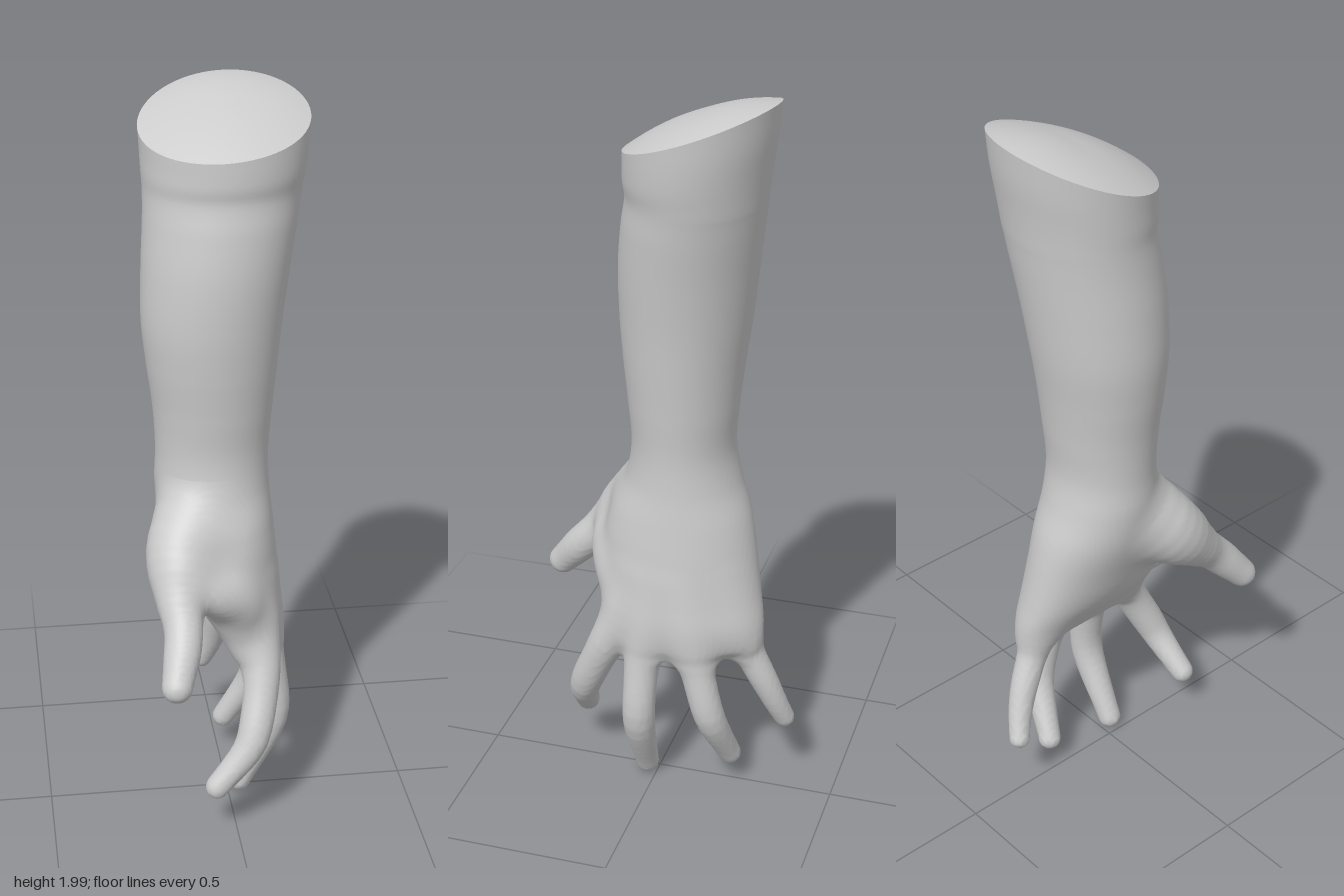
import * as THREE from 'three';

const material = new THREE.MeshStandardMaterial({ color: 0xcccccc, roughness: 0.8 });
const V = (x, y, z) => new THREE.Vector3(x, y, z);
const { clamp, lerp, smoothstep } = THREE.MathUtils;

function surface(positions, index) {
  const geometry = new THREE.BufferGeometry();
  geometry.setAttribute('position', new THREE.Float32BufferAttribute(positions, 3));
  geometry.setIndex(index);
  geometry.computeVertexNormals();
  return geometry;
}

// Closed rings of points given by place(u, angle)
function ringSurface(rows, cols, place) {
  const positions = [], index = [];
  for (let i = 0; i <= rows; i++) {
    for (let j = 0; j < cols; j++) {
      positions.push(...place(i / rows, (j / cols) * Math.PI * 2).toArray());
      if (i === rows) continue;
      const a = i * cols + j, b = i * cols + (j + 1) % cols;
      index.push(a, b, a + cols, b, b + cols, a + cols);
    }
  }
  return surface(positions, index);
}

// Forearm and palm sections: y, x min, x max, z min, z max
const sections = [
  [1.86, -0.212, 0.23, -0.305, 0.085],
  [1.82, -0.209, 0.226, -0.298, 0.086],
  [1.78, -0.207, 0.219, -0.286, 0.086],
  [1.74, -0.204, 0.208, -0.277, 0.082],
  [1.66, -0.206, 0.195, -0.267, 0.096],
  [1.54, -0.213, 0.175, -0.252, 0.109],
  [1.40, -0.216, 0.155, -0.235, 0.11],
  [1.28, -0.205, 0.142, -0.218, 0.102],
  [1.16, -0.190, 0.13, -0.205, 0.09],
  [1.04, -0.184, 0.12, -0.197, 0.082],
  [0.94, -0.187, 0.122, -0.215, 0.098],
  [0.84, -0.175, 0.132, -0.247, 0.138],
  [0.73, -0.14, 0.143, -0.268, 0.16],
  [0.62, -0.098, 0.15, -0.282, 0.153],
  [0.54, -0.045, 0.153, -0.287, 0.138],
  [0.48, 0.0, 0.143, -0.268, 0.12],
  [0.45, 0.04, 0.125, -0.225, 0.085],
];
const palmEnd = sections[sections.length - 1][0];

// Smooth section at a height: centre and half widths
function sectionAt(y) {
  const last = sections.length - 1;
  let k = 0;
  while (k < last - 1 && sections[k + 1][0] > y) k++;
  const A = sections[k], B = sections[k + 1], h = B[0] - A[0];
  const t = clamp((y - A[0]) / h, 0, 1), t2 = t * t, t3 = t2 * t;
  const slope = (i, c) => {
    const p = sections[Math.max(i - 1, 0)], q = sections[Math.min(i + 1, last)];
    return (q[c] - p[c]) / (q[0] - p[0]);
  };
  const [x0, x1, z0, z1] = [1, 2, 3, 4].map((c) => lerp(A[c], B[c], 3 * t2 - 2 * t3)
    + h * ((t3 - 2 * t2 + t) * slope(k, c) + (t3 - t2) * slope(k + 1, c)));
  return { cx: (x0 + x1) / 2, cz: (z0 + z1) / 2, hx: (x1 - x0) / 2, hz: (z1 - z0) / 2 };
}

// Forearm skin down into the wrist, with a slanted cut at the top
function forearmPoint(u, angle) {
  const y = lerp(1.86, 0.975, u), { cx, cz, hx, hz } = sectionAt(y);
  const c = Math.cos(angle), s = Math.sin(angle), cut = clamp((y - 1.74) / 0.12, 0, 1);
  return V(cx + hx * c, y + cut * (hz * (1 - s) * 0.36 - 0.009 * (1 - c) ** 2), cz + hz * s);
}

// Domed cap over the slanted rim
function capPoint(u, angle) {
  const centre = forearmPoint(0, 0).lerp(forearmPoint(0, Math.PI), 0.5);
  const point = centre.lerp(forearmPoint(0, angle), u);
  point.y += 0.045 * (1 - u * u);
  return point;
}

// Digits: path from inside the palm to the tip, and radii along it
const digits = {
  thumb: [
    [[-0.07, 0.9, 0.01], [-0.126, 0.81, 0.078], [-0.146, 0.71, 0.175], [-0.147, 0.63, 0.258], [-0.174, 0.533, 0.344]],
    [0.075, 0.098, 0.092, 0.07, 0.053, 0.049, 0.041]],
  indexFinger: [
    [[0.05, 0.66, 0.04], [0.076, 0.52, 0.09], [0.078, 0.42, 0.14], [0.05, 0.29, 0.2], [0.032, 0.25, 0.213], [-0.056, 0.15, 0.235]],
    [0.055, 0.06, 0.055, 0.048, 0.046, 0.039, 0.033]],
  middleFinger: [
    [[0.06, 0.66, -0.01], [0.093, 0.52, 0.01], [0.113, 0.41, 0.018], [0.13, 0.29, 0.022], [0.122, 0.225, 0.024], [0.032, 0.036, 0.028]],
    [0.055, 0.057, 0.051, 0.046, 0.045, 0.039, 0.033]],
  ringFinger: [
    [[0.06, 0.66, -0.07], [0.088, 0.52, -0.105], [0.105, 0.41, -0.138], [0.109, 0.3, -0.166], [0.099, 0.25, -0.179], [0.019, 0.103, -0.211]],
    [0.055, 0.056, 0.05, 0.045, 0.043, 0.037, 0.032]],
  littleFinger: [
    [[0.015, 0.68, -0.168], [0.028, 0.55, -0.222], [0.022, 0.44, -0.266], [0.008, 0.335, -0.313], [-0.008, 0.27, -0.338], [-0.026, 0.222, -0.355]],
    [0.055, 0.057, 0.052, 0.042, 0.039, 0.034, 0.029]],
  // Skin fold joining thumb and index finger
  thumbWeb: [
    [[-0.13, 0.76, 0.13], [-0.065, 0.705, 0.155], [0.015, 0.655, 0.125], [0.06, 0.57, 0.08]],
    [0.065, 0.056, 0.05, 0.045]],
};

// Each digit as a chain of short tapered segments: start, direction, radii
const chains = Object.values(digits).map(([path, radii]) => {
  const points = new THREE.CatmullRomCurve3(path.map((p) => V(...p))).getSpacedPoints(18);
  const profile = new THREE.SplineCurve(radii.map((r, i) => new THREE.Vector2(i, r)));
  return points.slice(0, -1).map((a, i) => {
    const d = points[i + 1].clone().sub(a);
    return { a, d, dd: d.lengthSq(), r0: profile.getPoint(i / 18).y, r1: profile.getPoint((i + 1) / 18).y };
  });
});

function chainDistance(chain, x, y, z) {
  let best = Infinity;
  for (const { a, d, dd, r0, r1 } of chain) {
    const px = x - a.x, py = y - a.y, pz = z - a.z;
    const t = Math.min(1, Math.max(0, (px * d.x + py * d.y + pz * d.z) / dd));
    const qx = px - t * d.x, qy = py - t * d.y, qz = pz - t * d.z;
    best = Math.min(best, Math.sqrt(qx * qx + qy * qy + qz * qz) - r0 - t * (r1 - r0));
  }
  return best;
}

// Palm with knuckles arched across the width
function palmDistance(x, y, z, { cx, cz, hx, hz }) {
  const s = clamp((z - cz) / hz, -1, 1);
  const dx = x - cx + smoothstep(0.9 - y, 0, 0.4) * 0.035 * s * s, dz = z - cz;
  const k0 = Math.hypot(dx / hx, dz / hz), k1 = Math.hypot(dx / hx ** 2, dz / hz ** 2);
  const d = k0 * (k0 - 1) / Math.max(k1, 1e-6);
  return y < palmEnd ? Math.hypot(Math.max(d, 0), palmEnd - y) : d;
}

// Union with a fillet of size k
function blend(a, b, k) {
  const h = Math.max(k - Math.abs(a - b), 0) / k;
  return Math.min(a, b) - h * h * k / 4;
}

// Skin where the blended palm and digits reach distance zero, traced on a grid
function handGeometry() {
  const step = 0.01, min = [-0.27, -0.03, -0.42], n = [50, 104, 85];
  const stride = [1, n[0], n[0] * n[1]];
  const values = new Float32Array(n[0] * n[1] * n[2]);
  const forCells = (start, visit) => {
    for (let j = start; j < n[1] - 1; j++)
      for (let k = start; k < n[2] - 1; k++)
        for (let i = start; i < n[0] - 1; i++) visit(i + j * stride[1] + k * stride[2], [i, j, k]);
  };
  for (let j = 0; j < n[1]; j++) {
    const y = min[1] + j * step, section = sectionAt(y);
    for (let k = 0; k < n[2]; k++) {
      for (let i = 0; i < n[0]; i++) {
        const x = min[0] + i * step, z = min[2] + k * step;
        const fingers = chains.reduce((f, chain) => blend(f, chainDistance(chain, x, y, z), 0.03), 1);
        values[i + j * stride[1] + k * stride[2]] = blend(fingers, palmDistance(x, y, z, section), 0.06);
      }
    }
  }
  // One vertex in each crossed cell, at the mean of its edge crossings
  const positions = [], index = [], vertex = new Map();
  forCells(0, (g, cell) => {
    const sum = [0, 0, 0];
    let count = 0;
    for (let axis = 0; axis < 3; axis++) {
      const u = (axis + 1) % 3, v = (axis + 2) % 3;
      for (let corner = 0; corner < 4; corner++) {
        const cu = corner & 1, cv = corner >> 1, e = g + cu * stride[u] + cv * stride[v];
        const a = values[e], b = values[e + stride[axis]];
        if (a < 0 === b < 0) continue;
        sum[axis] += a / (a - b);
        sum[u] += cu;
        sum[v] += cv;
        count++;
      }
    }
    if (!count) return;
    vertex.set(g, positions.length / 3);
    positions.push(...sum.map((s, c) => min[c] + step * (cell[c] + s / count)));
  });
  // One quad around each crossed grid edge
  forCells(1, (g) => {
    for (let axis = 0; axis < 3; axis++) {
      const su = stride[(axis + 1) % 3], sv = stride[(axis + 2) % 3];
      const inside = values[g] < 0;
      if (inside === values[g + stride[axis]] < 0) continue;
      const q = [g, g - su, g - su - sv, g - sv].map((cell) => vertex.get(cell));
      if (!inside) q.reverse();
      index.push(q[0], q[1], q[2], q[0], q[2], q[3]);
    }
  });
  return surface(positions, index);
}

export function createModel() {
  const model = new THREE.Group();
  model.name = 'armAndHand';
  const parts = {
    forearm: ringSurface(80, 64, forearmPoint),
    topCap: ringSurface(10, 64, capPoint),
    hand: handGeometry(),
  };
  for (const [name, geometry] of Object.entries(parts)) {
    const mesh = new THREE.Mesh(geometry, material);
    mesh.name = name;
    model.add(mesh);
  }
  return model;
}
